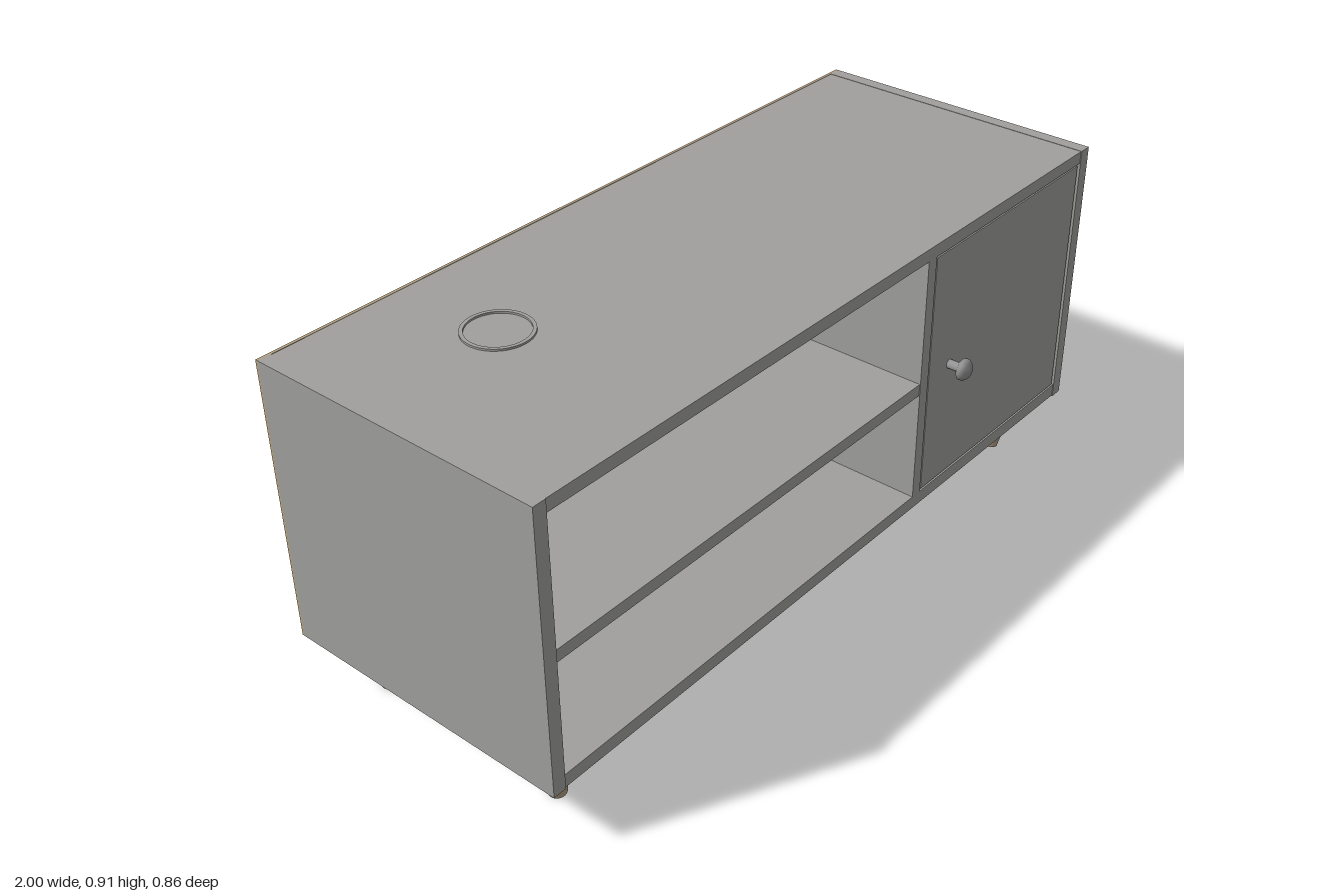
import * as THREE from 'three';

export function createModel() {
  const group = new THREE.Group();
  const grey = new THREE.MeshStandardMaterial({ color: 0xa09f9d });
  grey.name = 'grey board';
  const wood = new THREE.MeshStandardMaterial({ color: 0xb39f82 });
  wood.name = 'light wood';
  const metal = new THREE.MeshStandardMaterial({ color: 0x929292 });
  metal.name = 'metal';

  const add = (name, geometry, material) => {
    const mesh = new THREE.Mesh(geometry, material);
    mesh.name = name;
    group.add(mesh);
    return mesh;
  };
  // Box given by its limits on each axis
  const board = (name, [x0, x1], [y0, y1], [z0, z1], material = grey) =>
    add(name, new THREE.BoxGeometry(x1 - x0, y1 - y0, z1 - z0), material)
      .position.set((x0 + x1) / 2, (y0 + y1) / 2, (z0 + z1) / 2);

  // Cabinet carcass
  const depth = [-0.42, 0.372];
  const inner = [-0.42, 0.37];
  board('leftSide', [0.965, 1], [0.165, 0.903], depth);
  board('rightSide', [-1, -0.965], [0.165, 0.903], depth);
  board('top', [-0.965, 0.965], [0.869, 0.902], inner);
  board('bottom', [-0.965, 0.965], [0.167, 0.202], inner);
  board('divider', [0.285, 0.317], [0.202, 0.869], inner);
  board('shelf', [-0.965, 0.285], [0.503, 0.535], [-0.42, 0.368]);

  // Door with a hinge in the narrow gap
  board('door', [0.322, 0.957], [0.207, 0.864], [0.337, 0.369]);
  board('hinge', [0.956, 0.965], [0.44, 0.64], [0.335, 0.362], metal);

  // Back panel with a cable notch open at the left edge
  const outline = [
    [-1, 0.165], [1, 0.165], [1, 0.35], [0.04, 0.35],
    [0.04, 0.497], [1, 0.497], [1, 0.903], [-1, 0.903],
  ].map(([x, y]) => new THREE.Vector2(x, y));
  const back = new THREE.ExtrudeGeometry(new THREE.Shape(outline), { depth: 0.008, bevelEnabled: false });
  add('backPanel', back, wood).position.z = -0.428;

  // Turned door knob
  const knobProfile = [
    [0, 0], [0.012, 0], [0.012, 0.026], [0.028, 0.038],
    [0.028, 0.047], [0.02, 0.057], [0, 0.06],
  ].map(([r, h]) => new THREE.Vector2(r, h));
  const knobGeometry = new THREE.LatheGeometry(knobProfile, 24);
  knobGeometry.rotateX(Math.PI / 2);
  add('knob', knobGeometry, metal).position.set(0.41, 0.535, 0.369);

  // Flat cable grommet ring on the top
  const ringShape = new THREE.Shape().absarc(0, 0, 0.083, 0, Math.PI * 2);
  ringShape.holes.push(new THREE.Path().absarc(0, 0, 0.074, 0, Math.PI * 2, true));
  const ringGeometry = new THREE.ExtrudeGeometry(ringShape, { depth: 0.005, bevelEnabled: false, curveSegments: 32 });
  ringGeometry.rotateX(-Math.PI / 2);
  add('grommetRing', ringGeometry, grey).position.set(-0.6, 0.902, -0.128);

  // Tapered legs, feet leaning inward
  const up = new THREE.Vector3(0, 1, 0);
  for (const sx of [-1, 1]) {
    for (const [sz, topZ, footZ] of [[1, 0.264, 0.243], [-1, -0.318, -0.297]]) {
      const head = new THREE.Vector3(sx * 0.889, 0.162, topZ);
      const foot = new THREE.Vector3(sx * 0.87, 0.004, footZ);
      const axis = head.clone().sub(foot);
      const leg = add(
        `${sz > 0 ? 'front' : 'back'}${sx > 0 ? 'Left' : 'Right'}Leg`,
        new THREE.CylinderGeometry(0.035, 0.023, axis.length(), 24), wood);
      leg.position.copy(head).add(foot).multiplyScalar(0.5);
      leg.quaternion.setFromUnitVectors(up, axis.normalize());
    }
  }
  return group;
}
